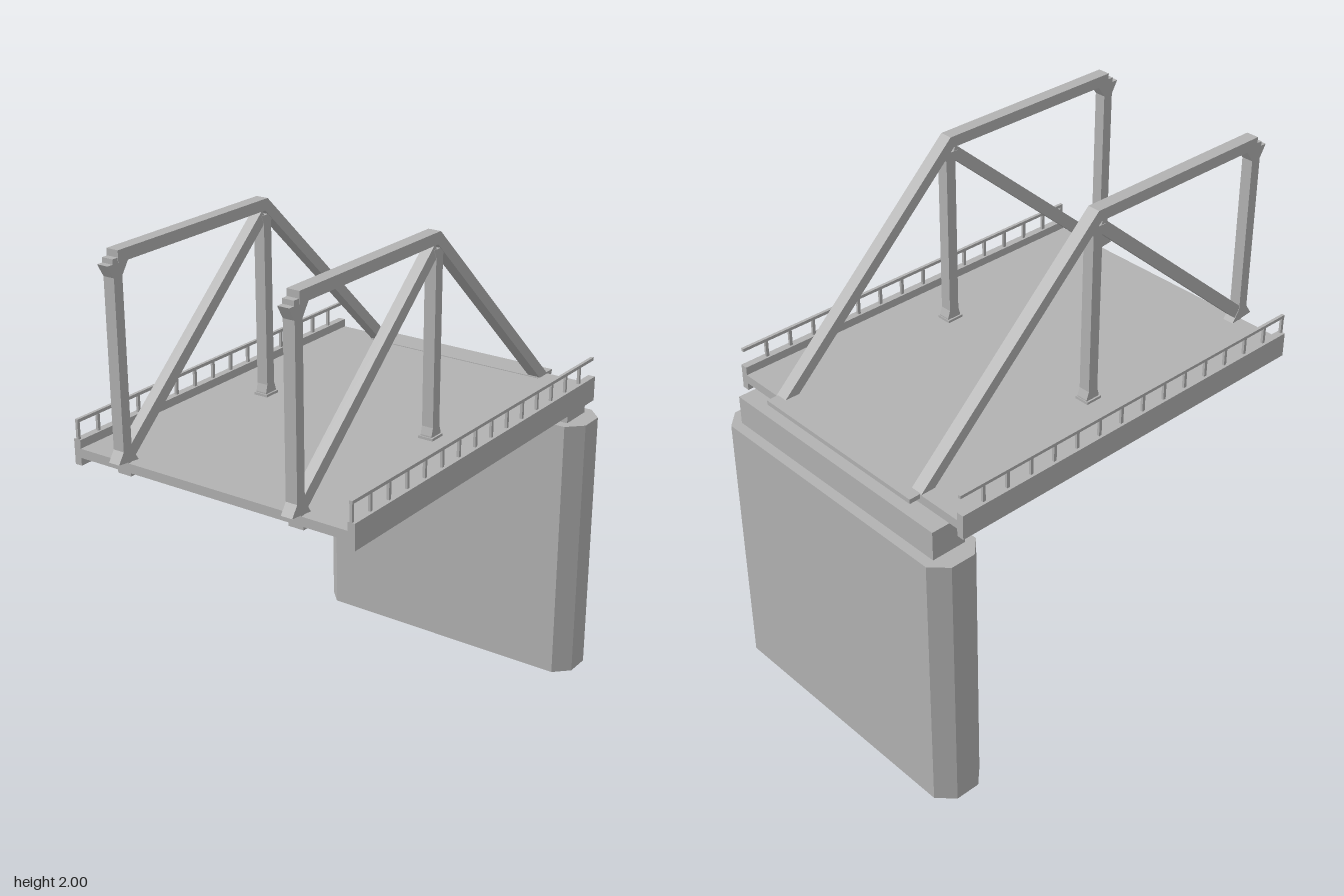
import * as THREE from 'three';

export function createModel() {
  const model = new THREE.Group();
  const grey = new THREE.MeshStandardMaterial({ color: 0xb2b2b2, side: THREE.DoubleSide, flatShading: true });
  grey.name = 'grey';

  const add = (name, geometry, parent = model) => {
    const mesh = new THREE.Mesh(geometry, grey);
    mesh.name = name;
    parent.add(mesh);
    return mesh;
  };
  // Box given by its limits on each axis
  const box = (name, [x0, x1], [y0, y1], [z0, z1], parent) =>
    add(name, new THREE.BoxGeometry(x1 - x0, y1 - y0, z1 - z0), parent)
      .position.set((x0 + x1) / 2, (y0 + y1) / 2, (z0 + z1) / 2);
  // Side profile in x and y, extruded across z
  const profile = (name, points, z0, z1, parent) => {
    const shape = new THREE.Shape(points.map(([x, y]) => new THREE.Vector2(x, y)));
    const geometry = new THREE.ExtrudeGeometry(shape, { depth: z1 - z0, bevelEnabled: false });
    add(name, geometry.translate(0, 0, z0), parent);
  };

  // Pier: hollow walls with chamfered corners, open underneath
  const outline = [[0.72, 0.6], [0.82, 0.6], [0.88, 0.54], [0.88, -0.54],
    [0.82, -0.6], [0.72, -0.6], [0.66, -0.54], [0.66, 0.54]];
  const height = 1.085;
  const walls = [];
  outline.forEach(([xa, za], i) => {
    const [xb, zb] = outline[(i + 1) % outline.length];
    walls.push(xa, 0, za, xb, 0, zb, xb, height, zb, xa, 0, za, xb, height, zb, xa, height, za);
  });
  const wallGeometry = new THREE.BufferGeometry();
  wallGeometry.setAttribute('position', new THREE.Float32BufferAttribute(walls, 3));
  wallGeometry.computeVertexNormals();
  add('pierWalls', wallGeometry);
  const topShape = new THREE.Shape(outline.map(([x, z]) => new THREE.Vector2(x, -z)));
  add('pierTop', new THREE.ShapeGeometry(topShape).rotateX(-Math.PI / 2).translate(0, height, 0));
  box('pierCap', [0.70, 0.84], [height, 1.2], [-0.53, 0.53]);

  // Deck and its joint plate
  box('deck', [-0.83, 0.77], [1.205, 1.24], [-0.575, 0.575]);
  box('jointPlate', [0.7, 0.815], [1.225, 1.243], [-0.39, 0.39]);

  for (const side of [1, -1]) {
    const half = new THREE.Group();
    half.name = side > 0 ? 'frontSide' : 'backSide';
    model.add(half);
    const span = (a, b) => (side > 0 ? [a, b] : [-b, -a]);
    const [z0, z1] = span(0.345, 0.395);

    // Edge girder and stringer
    box('girder', [-0.83, 0.77], [1.175, 1.272], span(0.573, 0.602), half);
    box('stringer', [-0.83, 0.69], [1.193, 1.206], span(0.34, 0.4), half);

    // Railing
    box('topRail', [-0.83, 0.77], [1.336, 1.348], span(0.58, 0.592), half);
    box('railPost', [-0.83, -0.818], [1.27, 1.34], span(0.581, 0.591), half);
    for (let i = 0; i < 14; i++) {
      const x = -0.722 + i * 0.1068;
      box('railPost', [x - 0.006, x + 0.006], [1.27, 1.34], span(0.581, 0.591), half);
    }

    // Truss: top chord running into the sloped end member
    profile('topChord', [[-0.83, 2], [-0.03, 2], [0.77, 1.24], [0.71, 1.24],
      [-0.045, 1.957], [-0.83, 1.957]], z0, z1, half);
    profile('diagonal', [[-0.83, 1.24], [-0.815, 1.24], [-0.04, 1.915], [-0.055, 1.962],
      [-0.83, 1.29]], z0 + 0.004, z1 - 0.004, half);

    // Posts with flared gussets
    profile('endPost', [[-0.88, 1.25], [-0.78, 1.24], [-0.812, 1.29], [-0.812, 1.91],
      [-0.78, 1.957], [-0.83, 1.957], [-0.83, 1.975], [-0.855, 1.975], [-0.855, 1.957],
      [-0.88, 1.957], [-0.853, 1.91], [-0.853, 1.29]], z0 + 0.002, z1 - 0.002, half);
    profile('middlePost', [[-0.06, 1.24], [0, 1.24], [0, 1.255], [-0.01, 1.285], [-0.01, 1.91],
      [0.005, 1.94], [-0.065, 1.94], [-0.052, 1.91], [-0.052, 1.285], [-0.06, 1.255]],
      z0 + 0.002, z1 - 0.002, half);
    box('postFoot', [-0.065, 0.003], [1.24, 1.25], span(0.34, 0.4), half);
  }
  return model;
}
